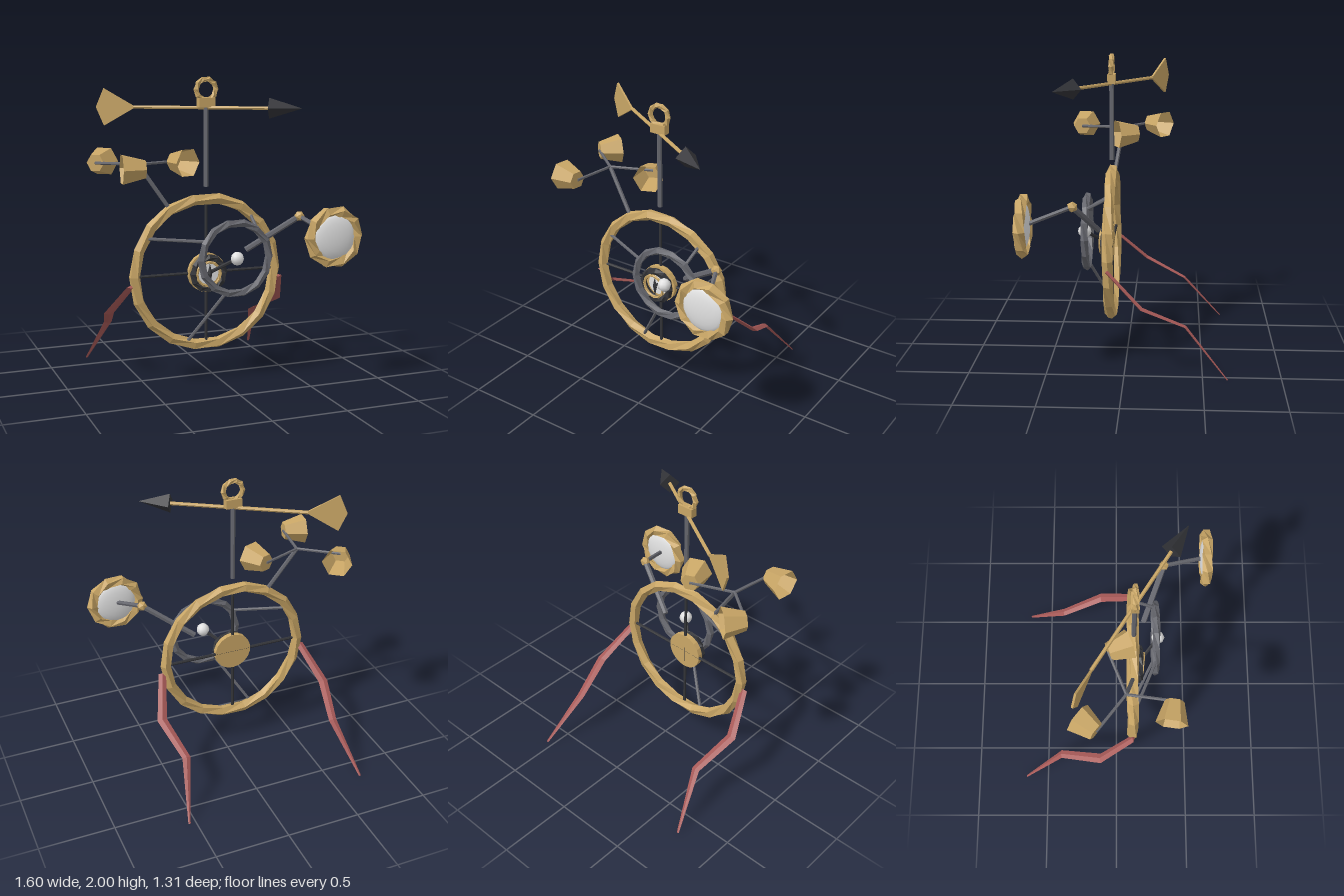
import * as THREE from 'three';

const mat = (name, color, opts = {}) => {
  const m = new THREE.MeshStandardMaterial({ color, ...opts });
  m.name = name;
  return m;
};

export function createModel() {
  const flat = { flatShading: true };
  const brass = mat('brass', 0xc9a666, { flatShading: true, side: THREE.DoubleSide });
  const steel = mat('steel', 0x66676e, flat);
  const iron = mat('iron', 0x333438, flat);
  const red = mat('red', 0xa85a58, flat);
  const white = mat('white', 0xe2e2e2);

  const model = new THREE.Group();
  const V = (x, y, z) => new THREE.Vector3(x, y, z);
  const CX = -0.083, CY = 0.73, CZ = 0.11; // wheel centre
  const UP = V(0, 1, 0);

  function add(name, geo, material, pos = V(0, 0, 0), parent = model) {
    const mesh = new THREE.Mesh(geo, material);
    mesh.name = name;
    mesh.position.copy(pos);
    parent.add(mesh);
    return mesh;
  }
  // straight rod between two points
  function bar(name, a, b, r, material, parent = model) {
    const dir = b.clone().sub(a);
    const mesh = add(name, new THREE.CylinderGeometry(r, r, dir.length(), 6), material,
      a.clone().add(b).multiplyScalar(0.5), parent);
    mesh.quaternion.setFromUnitVectors(UP, dir.normalize());
    return mesh;
  }
  // ring whose five-sided section makes one full turn around the loop
  function ring(name, R, r, n, material, pos) {
    const geo = new THREE.TorusGeometry(R, r, 5, n);
    const p = geo.attributes.position;
    for (let i = 0; i < p.count; i++) {
      const u = Math.atan2(p.getY(i), p.getX(i));
      const d = Math.hypot(p.getX(i), p.getY(i)) - R, z = p.getZ(i);
      const rad = R + d * Math.cos(u) - z * Math.sin(u);
      p.setXYZ(i, rad * Math.cos(u), rad * Math.sin(u), d * Math.sin(u) + z * Math.cos(u));
    }
    geo.computeVertexNormals();
    return add(name, geo, material, pos);
  }

  // main wheel and cross spokes
  ring('mainWheel', 0.49, 0.037, 18, brass, V(CX, CY, CZ));
  bar('horizontalSpoke', V(CX - 0.48, CY, CZ), V(CX + 0.48, CY, CZ), 0.01, iron);
  bar('verticalSpoke', V(CX, CY - 0.48, CZ), V(CX, CY + 0.48, CZ), 0.01, iron);

  // hub: case, bezel, face, inner ring, needle
  const hubCase = add('hubCase', new THREE.CylinderGeometry(0.13, 0.13, 0.035, 18), brass, V(CX, CY, 0.118));
  hubCase.rotation.x = Math.PI / 2;
  ring('hubBezel', 0.105, 0.025, 12, iron, V(CX, CY, 0.16));
  const face = add('hubFace', new THREE.CylinderGeometry(0.075, 0.075, 0.008, 16), white, V(CX, CY, 0.14));
  face.rotation.x = Math.PI / 2;
  ring('hubInnerRing', 0.08, 0.01, 12, brass, V(CX - 0.008, CY, 0.183)).rotation.y = -0.08;
  add('hubNeedle', new THREE.OctahedronGeometry(1), iron, V(CX, CY, 0.18)).scale.set(0.017, 0.07, 0.012);

  // offset ring with central ball and three struts
  const oc = V(0.063, 0.838, 0.265);
  ring('offsetRing', 0.235, 0.026, 14, steel, oc);
  const ball = V(0.067, 0.84, 0.283);
  bar('ballStem', V(CX, CY, 0.15), ball, 0.012, iron);
  add('centreBall', new THREE.SphereGeometry(0.045, 8, 6), white, ball);
  for (const deg of [50, 149, 253]) {
    const c = Math.cos(deg * Math.PI / 180), s = Math.sin(deg * Math.PI / 180);
    bar('ringStrut', V(CX + 0.48 * c, CY + 0.48 * s, CZ + 0.01),
      V(oc.x + 0.235 * c, oc.y + 0.235 * s, oc.z), 0.011, steel);
  }

  // mast, block and top loop
  bar('mast', V(CX, 1.295, CZ), V(CX, 1.82, CZ), 0.016, steel);
  add('mastBlock', new THREE.BoxGeometry(0.11, 0.06, 0.05), brass, V(CX, 1.836, CZ));
  ring('topLoop', 0.067, 0.018, 10, brass, V(CX, 1.919, CZ));

  // wind arrow, built along +x and turned
  const arrow = new THREE.Group();
  arrow.name = 'windArrow';
  arrow.position.set(CX, 1.803, CZ);
  arrow.rotation.y = -0.565;
  model.add(arrow);
  bar('arrowShaft', V(-0.48, 0, 0), V(0.42, 0, 0), 0.012, brass, arrow);
  const head = add('arrowHead', new THREE.ConeGeometry(0.066, 0.21, 4), iron, V(0.513, 0, 0), arrow);
  head.rotation.z = -Math.PI / 2;
  const kite = new THREE.Shape([[0, 0], [-0.21, 0.121], [-0.262, 0], [-0.21, -0.121]]
    .map(([x, y]) => new THREE.Vector2(x, y)));
  const finGeo = new THREE.ExtrudeGeometry(kite, { depth: 0.014, bevelEnabled: false }).translate(0, 0, -0.007);
  add('arrowFin', finGeo, brass, V(-0.466, 0, 0), arrow).rotation.y = 0.115;

  // spinning cups on three arms, each mouth facing along the direction of spin
  const spin = V(-0.525, 1.45, 0.06);
  bar('cupSupport', V(-0.335, 1.165, 0.105), spin, 0.014, steel);
  const cupProfile = [[0, 0], [0.06, 0], [0.1, 0.145]].map(([x, y]) => new THREE.Vector2(x, y));
  for (let i = 0; i < 3; i++) {
    const a = (-22 + i * 120) * Math.PI / 180;
    const out = V(Math.cos(a), 0, Math.sin(a)), along = V(-Math.sin(a), 0, Math.cos(a));
    const end = spin.clone().addScaledVector(out, 0.295);
    bar('cupArm', spin, end, 0.01, steel);
    const cup = add('windCup', new THREE.LatheGeometry(cupProfile, 6), brass, end);
    cup.quaternion.setFromRotationMatrix(new THREE.Matrix4().makeBasis(UP, along, out));
  }

  // jointed arm with round mirror
  const elbow = V(0.487, 1.1, 0.32), mirror = V(0.588, 1.003, 0.613);
  bar('lowerArm', V(0.167, 0.875, 0.185), elbow, 0.02, steel);
  bar('upperArm', elbow, V(0.583, 1.01, 0.59), 0.015, steel);
  add('elbowJoint', new THREE.IcosahedronGeometry(0.035, 0), brass, elbow);
  ring('mirrorFrame', 0.165, 0.038, 10, brass, mirror);
  const glass = add('mirrorGlass', new THREE.SphereGeometry(0.15, 20, 10).rotateX(Math.PI / 2), white, mirror);
  glass.scale.z = 0.27;

  // flattened, jointed legs trailing to the back: [x offset, y, z, half width, half thickness]
  const path = [
    [0.515, 0.67, 0.115, 0.027, 0.011], [0.603, 0.455, -0.11, 0.034, 0.012],
    [0.54, 0.322, -0.387, 0.028, 0.009], [0.628, 0.003, -0.656, 0.008, 0.004],
  ];
  function legGeometry(sign) {
    const pos = [], idx = [], n = 4;
    path.forEach(([x, y, z, w, t], i) => {
      const p = path[Math.max(i - 1, 0)], q = path[Math.min(i + 1, 3)];
      const nrm = V(0, p[2] - q[2], q[1] - p[1]).normalize();
      for (let k = 0; k < n; k++) {
        const a = k / n * Math.PI * 2, h = t * Math.sin(a);
        pos.push(CX + sign * (x + w * Math.cos(a)), y + nrm.y * h, z + nrm.z * h);
      }
    });
    const tri = (a, b, c) => (sign > 0 ? idx.push(a, b, c) : idx.push(a, c, b));
    for (let i = 0; i < 3; i++) for (let k = 0; k < n; k++) {
      const a = i * n + k, b = i * n + (k + 1) % n;
      tri(a, b + n, b);
      tri(a, a + n, b + n);
    }
    for (let k = 1; k < n - 1; k++) {
      tri(0, k, k + 1);
      tri(3 * n, 3 * n + k + 1, 3 * n + k);
    }
    const g = new THREE.BufferGeometry();
    g.setAttribute('position', new THREE.Float32BufferAttribute(pos, 3));
    g.setIndex(idx);
    g.computeVertexNormals();
    return g;
  }
  add('leftLeg', legGeometry(1), red);
  add('rightLeg', legGeometry(-1), red);

  return model;
}
